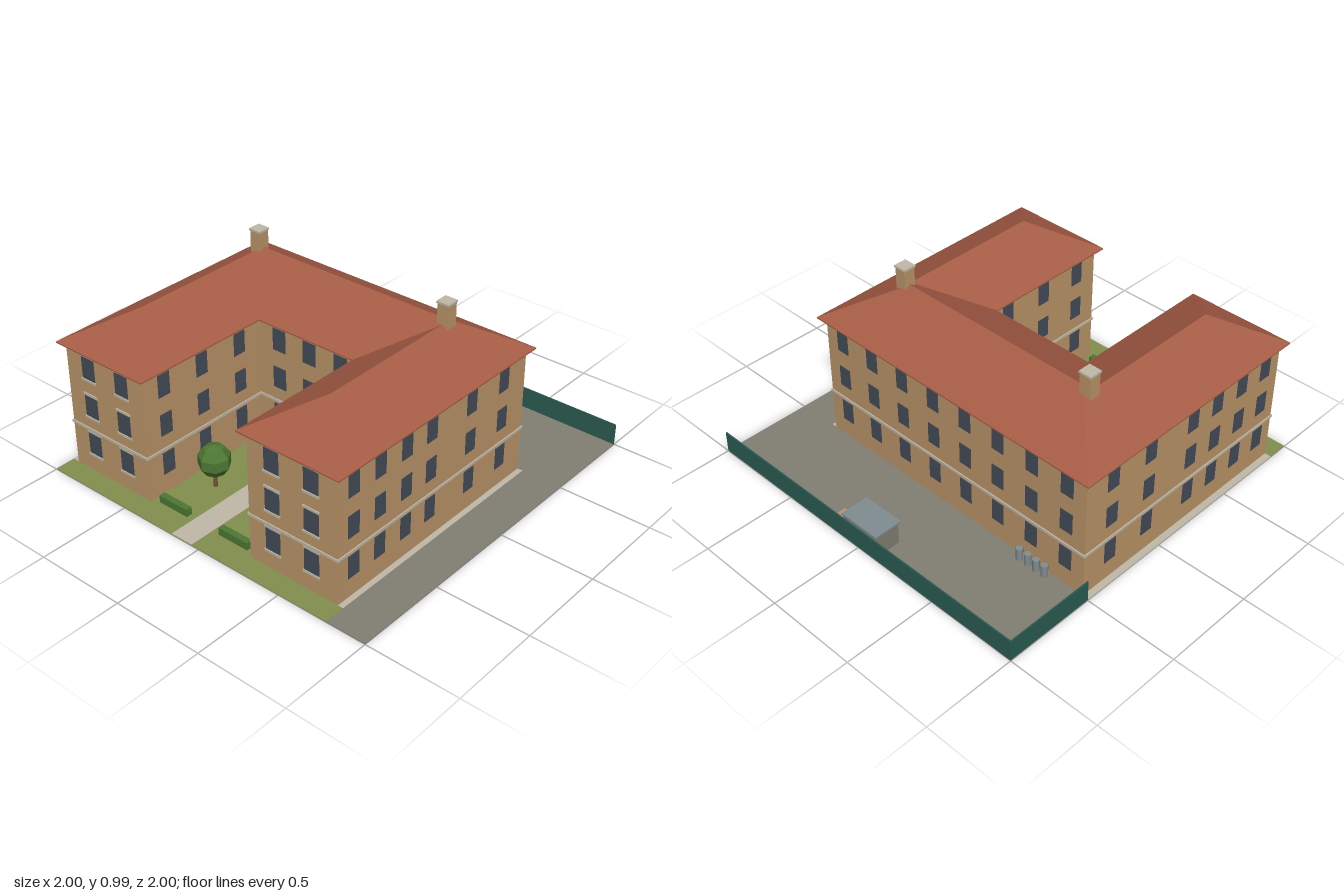
import * as THREE from 'three';

const mat = (name, color) => {
  const m = new THREE.MeshStandardMaterial({ color });
  m.name = name;
  return m;
};

export function createModel() {
  const wall = mat('sandstone', 0xba9468);
  const roofRed = mat('roof tile', 0xa65c45);
  const lawnGreen = mat('lawn', 0x83904e);
  const pale = mat('pale stone', 0xc0b8a6);
  const asphalt = mat('asphalt', 0x827e74);
  const glass = mat('dark glass', 0x434c59);
  const teal = mat('dark teal', 0x2b5c52);
  const leaf = mat('foliage', 0x4d7833);
  const metal = mat('blue grey metal', 0x7f8c90);
  const bark = mat('bark', 0x7a5236);

  const model = new THREE.Group();
  const building = new THREE.Group();
  building.name = 'building';
  building.position.x = -0.1075;
  model.add(building);

  const add = (parent, name, geometry, material, x = 0, y = 0, z = 0) => {
    const m = new THREE.Mesh(geometry, material);
    m.name = name;
    m.position.set(x, y, z);
    parent.add(m);
    return m;
  };
  // box from its low and high corners
  const box = (parent, name, material, x0, x1, y0, y1, z0, z1) =>
    add(parent, name, new THREE.BoxGeometry(x1 - x0, y1 - y0, z1 - z0), material,
      (x0 + x1) / 2, (y0 + y1) / 2, (z0 + z1) / 2);

  // U-shaped plan, grown outwards by o
  const uSlab = (name, material, o, y0, y1) => {
    const X = 0.8575 + o, I = 0.3325 - o, B = -0.495 - o, F = 0.885 + o, C = 0.095 + o;
    const plan = [[-X, F], [-I, F], [-I, C], [I, C], [I, F], [X, F], [X, B], [-X, B]];
    const shape = new THREE.Shape(plan.map(([x, z]) => new THREE.Vector2(x, -z)));
    const g = new THREE.ExtrudeGeometry(shape, { depth: y1 - y0, bevelEnabled: false });
    g.rotateX(-Math.PI / 2);
    add(building, name, g, material, 0, y0, 0);
  };
  uSlab('walls', wall, 0, 0, 0.695);
  uSlab('stringCourse', pale, 0.006, 0.243, 0.257);
  uSlab('eaves', roofRed, 0.033, 0.693, 0.7);

  // hipped roof: each face is a convex polygon fanned into triangles
  const X = 0.8905, I = 0.2995, B = -0.528, F = 0.918, C = 0.128, E = 0.7;
  const M = (X + I) / 2, wingHalf = (X - I) / 2, mainHalf = (C - B) / 2, zr = (B + C) / 2;
  const wingY = E + wingHalf * 0.575, mainY = E + mainHalf * 0.575;
  const R = X - mainHalf, zj = C - wingHalf;
  const pos = [];
  const face = (pts) => {
    const v = pts.map((p) => new THREE.Vector3(...p));
    const n = v[1].clone().sub(v[0]).cross(v[2].clone().sub(v[0]));
    if (n.y < 0) v.reverse();
    for (let i = 1; i < v.length - 1; i++)
      for (const p of [v[0], v[i], v[i + 1]]) pos.push(p.x, p.y, p.z);
  };
  face([[-X, E, B], [X, E, B], [R, mainY, zr], [-R, mainY, zr]]);
  face([[-I, E, C], [I, E, C], [M, wingY, zj], [R, mainY, zr], [-R, mainY, zr], [-M, wingY, zj]]);
  for (const s of [-1, 1]) {
    face([[s * X, E, B], [s * X, E, C], [s * R, mainY, zr]]);
    face([[s * X, E, C], [s * X, E, F], [s * M, wingY, F - wingHalf], [s * M, wingY, zj]]);
    face([[s * I, E, F], [s * I, E, C], [s * M, wingY, zj], [s * M, wingY, F - wingHalf]]);
    face([[s * X, E, F], [s * I, E, F], [s * M, wingY, F - wingHalf]]);
  }
  const roofGeo = new THREE.BufferGeometry();
  roofGeo.setAttribute('position', new THREE.Float32BufferAttribute(pos, 3));
  roofGeo.computeVertexNormals();
  add(building, 'roof', roofGeo, roofRed);

  // chimneys with pale caps
  for (const s of [-1, 1]) {
    const x = s * M;
    box(building, 'chimney', wall, x - 0.032, x + 0.032, 0.8, 0.975, zr - 0.032, zr + 0.032);
    box(building, 'chimneyCap', pale, x - 0.036, x + 0.036, 0.975, 0.986, zr - 0.036, zr + 0.036);
  }

  // windows on three floors
  const t = 0.003;
  for (const [y0, y1] of [[0.108, 0.23], [0.328, 0.447], [0.542, 0.665]]) {
    for (const s of [-1, 1]) {
      for (const wx of [0.4775, 0.7075]) {
        const x = s * wx;
        box(building, 'wingWindow', glass, x - 0.043, x + 0.043, y0, y1, 0.885 - t, 0.885 + t);
        box(building, 'windowSill', pale, x - 0.048, x + 0.048, y0 - 0.012, y0, 0.88, 0.893);
        box(building, 'windowLintel', pale, x - 0.048, x + 0.048, y1, y1 + 0.013, 0.88, 0.891);
      }
      for (const z of [0.78, 0.6, 0.415, 0.235, -0.065, -0.32])
        box(building, 'sideWindow', glass, s * 0.8575 - t, s * 0.8575 + t, y0, y1, z - 0.037, z + 0.037);
      for (const z of [0.75, 0.5, 0.24])
        box(building, 'courtWindow', glass, s * 0.3325 - t, s * 0.3325 + t, y0, y1, z - 0.037, z + 0.037);
    }
    for (const x of [-0.1975, 0, 0.1975])
      box(building, 'mainWindow', glass, x - 0.041, x + 0.041, y0, y1, 0.095 - t, 0.095 + t);
    for (let i = 0; i < 8; i++) {
      const x = (i - 3.5) * 0.2126;
      box(building, 'backWindow', glass, x - 0.037, x + 0.037, y0, y1, -0.495 - t, -0.495 + t);
    }
  }

  // entrance porch
  box(building, 'door', teal, -0.05, 0.05, 0.005, 0.175, 0.095, 0.101);
  box(building, 'porchCanopy', pale, -0.11, 0.11, 0.18, 0.192, 0.095, 0.225);
  box(building, 'doorstep', pale, -0.11, 0.11, 0, 0.01, 0.095, 0.225);
  for (const s of [-1, 1])
    box(building, 'porchPillar', wall, s * 0.09 - 0.01, s * 0.09 + 0.01, 0.01, 0.18, 0.195, 0.215);

  // ground
  const g = 0.004;
  box(model, 'backYard', asphalt, -1, 1, 0, g, -1, -0.495);
  box(model, 'sideDrive', asphalt, 0.78, 1, 0, g, -0.495, 1);
  box(model, 'frontLawn', lawnGreen, -1, 0.78, 0, g, 0.885, 1);
  box(model, 'courtLawn', lawnGreen, -0.44, 0.225, 0, g, 0.095, 0.885);
  box(model, 'gardenPath', pale, -0.175, -0.045, g, 0.007, 0.22, 1);
  box(model, 'sidePaving', pale, 0.75, 0.78, 0, g, -0.495, 0.885);
  box(model, 'sidePaving', pale, -1, -0.965, 0, g, -0.495, 0.885);

  // fence
  box(model, 'backFence', teal, -1, 1, 0, 0.12, -1, -0.993);
  box(model, 'sideFence', teal, -1, -0.993, 0, 0.12, -0.993, -0.5);

  // trees and hedges
  for (const [x, z, turn] of [[0.075, 0.4, 0.2], [-0.29, 0.59, 0.6]]) {
    const tree = new THREE.Group();
    tree.name = 'tree';
    tree.position.set(x, 0, z);
    model.add(tree);
    add(tree, 'trunk', new THREE.CylinderGeometry(0.009, 0.011, 0.1, 6), bark, 0, 0.05, 0);
    const ball = new THREE.SphereGeometry(0.088, 7, 5).toNonIndexed();
    ball.computeVertexNormals();
    add(tree, 'treeCrown', ball, leaf, 0, 0.16, 0).rotation.y = turn;
  }
  box(model, 'hedge', leaf, -0.4, -0.215, 0, 0.045, 0.828, 0.862);
  box(model, 'hedge', leaf, -0.003, 0.18, 0, 0.045, 0.828, 0.862);

  // yard shed, crate and bins
  box(model, 'shed', asphalt, -0.115, 0.105, 0, 0.13, -0.99, -0.845);
  box(model, 'shedRoof', metal, -0.125, 0.115, 0.13, 0.14, -0.993, -0.835);
  box(model, 'crate', wall, 0.13, 0.2, 0, 0.06, -0.97, -0.905);
  for (let i = 0; i < 4; i++)
    add(model, 'bin', new THREE.CylinderGeometry(0.018, 0.018, 0.07, 10), metal, -0.755 + i * 0.053, 0.037, -0.526);

  return model;
}
